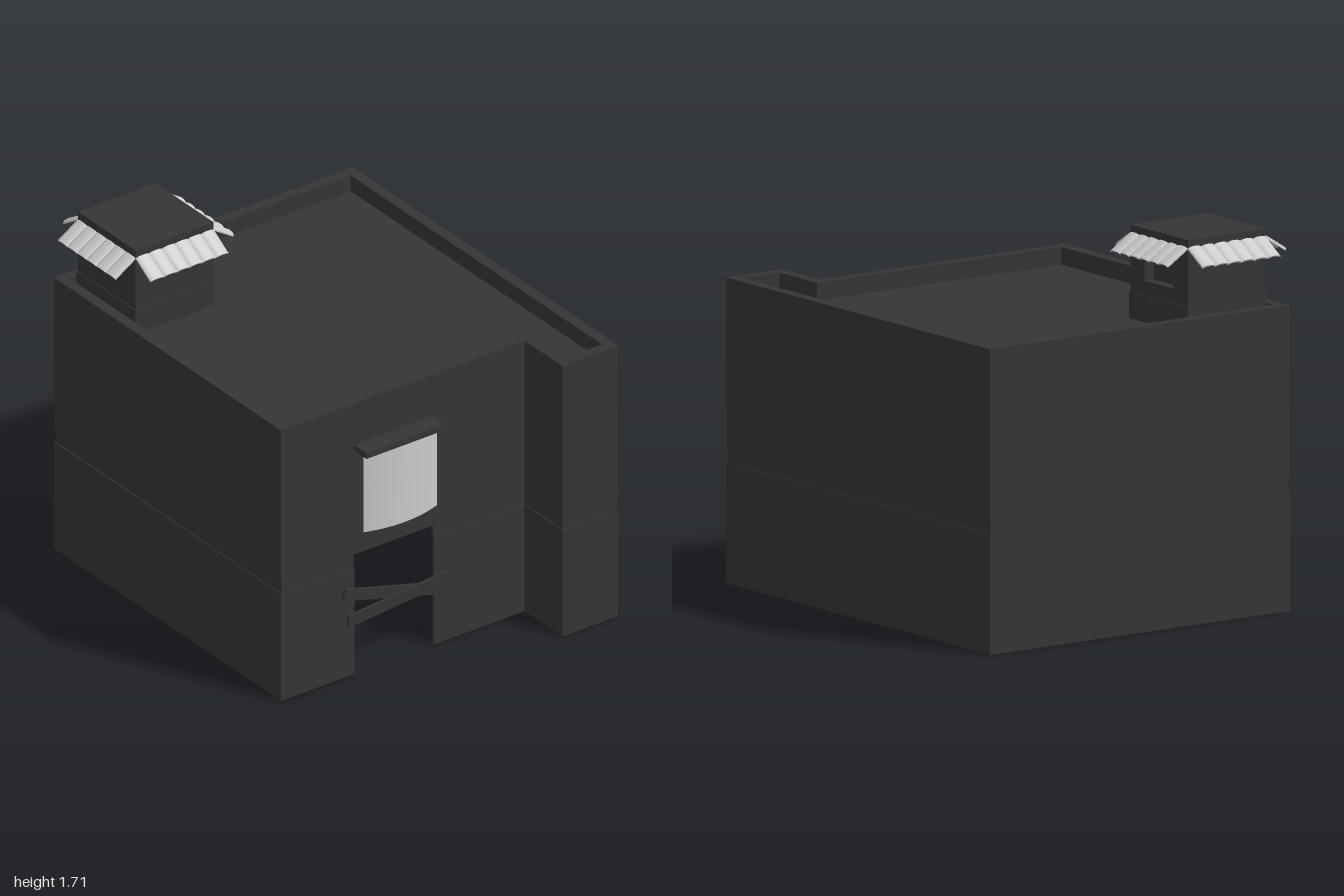
import * as THREE from 'three';
import { toCreasedNormals } from 'three/addons/utils/BufferGeometryUtils.js';

const dark = new THREE.MeshStandardMaterial({ color: 0x353535 });
const grey = new THREE.MeshStandardMaterial({ color: 0xcccccc });
const cloth = new THREE.MeshStandardMaterial({ color: 0xcccccc, side: THREE.DoubleSide });

const DOOR = [-0.4, 0.035];

// L-shaped floor plan pulled inwards by d, as (x, -z) points
function plan(d) {
  return [
    [0.53 + d, 0.72 - d], [0.53 + d, 1 - d], [0.835 - d, 1 - d],
    [0.835 - d, -0.957 + d], [-0.8 + d, -0.957 + d], [-0.8 + d, 0.72 - d],
  ].map(([x, z]) => new THREE.Vector2(x, -z));
}

// The same outline broken open at the doorway
function openPlan(d) {
  const z = -(0.72 - d);
  return [new THREE.Vector2(DOOR[1], z), ...plan(d), new THREE.Vector2(DOOR[0], z)];
}

function mesh(name, geometry, material = dark) {
  const m = new THREE.Mesh(geometry, material);
  m.name = name;
  return m;
}

function box(name, x0, x1, y0, y1, z0, z1) {
  const m = mesh(name, new THREE.BoxGeometry(x1 - x0, y1 - y0, z1 - z0));
  m.position.set((x0 + x1) / 2, (y0 + y1) / 2, (z0 + z1) / 2);
  return m;
}

// Raise a plan shape from y0 to y1
function raise(name, shape, y0, y1) {
  const g = new THREE.ExtrudeGeometry(shape, { depth: y1 - y0, bevelEnabled: false });
  g.rotateX(-Math.PI / 2).translate(0, y0, 0);
  return mesh(name, g);
}

function wall(name, inset, thickness, y0, y1, door) {
  let shape;
  if (door) {
    shape = new THREE.Shape([...openPlan(inset), ...openPlan(inset + thickness).reverse()]);
  } else {
    shape = new THREE.Shape(plan(inset));
    shape.holes.push(new THREE.Path(plan(inset + thickness)));
  }
  return raise(name, shape, y0, y1);
}

// One thin barrel tile running outwards along +z
function tileGeometry(width, length) {
  const rise = 0.013, t = 0.007, n = 8, top = [], under = [];
  for (let i = 0; i <= n; i++) {
    const u = (i / n) * 2 - 1;
    const y = rise * Math.sqrt(Math.max(0, 1 - 0.95 * u * u));
    top.push(new THREE.Vector2((u * width) / 2, y + t));
    under.unshift(new THREE.Vector2((u * width) / 2, y));
  }
  const g = new THREE.ExtrudeGeometry(new THREE.Shape([...under, ...top]), { depth: length, bevelEnabled: false });
  return toCreasedNormals(g, 0.9);
}

function createTower() {
  const tower = new THREE.Group();
  tower.name = 'roofTower';
  const cx = -0.51, cz = -0.67, h = 0.212, skin = 0.05;
  tower.add(box('towerBase', cx - h - 0.005, cx + h + 0.005, 1.29, 1.41, cz - h - 0.005, cz + h + 0.005));
  tower.add(box('towerBody', cx - h, cx + h - skin, 1.41, 1.71, cz - h, cz + h));

  // Side face with a recessed opening
  const face = new THREE.Shape([[-h, 1.41], [h, 1.41], [h, 1.71], [-h, 1.71]].map((p) => new THREE.Vector2(...p)));
  face.holes.push(new THREE.Path([[-0.107, 1.475], [-0.107, 1.63], [0.107, 1.63], [0.107, 1.475]].map((p) => new THREE.Vector2(...p))));
  const panel = mesh('towerWindowWall', new THREE.ExtrudeGeometry(face, { depth: skin, bevelEnabled: false }));
  panel.rotation.y = Math.PI / 2;
  panel.position.set(cx + h - skin, 0, cz);
  tower.add(panel);

  // Sloping tile skirt on all four sides
  const count = 6, width = (2 * h) / count;
  const geometry = tileGeometry(width, 0.13);
  for (let side = 0; side < 4; side++) {
    const row = new THREE.Group();
    row.name = 'tileRow';
    row.position.set(cx, 1.665, cz);
    row.rotation.y = (side * Math.PI) / 2;
    for (let i = 0; i < count; i++) {
      const tile = mesh('roofTile', geometry, grey);
      tile.position.set((i - (count - 1) / 2) * width, 0, h - 0.003);
      tile.rotation.x = 0.56;
      row.add(tile);
    }
    tower.add(row);
  }
  return tower;
}

function plank(x, y, z, length, angle) {
  const m = mesh('doorPlank', new THREE.BoxGeometry(length, 0.055, 0.015));
  m.position.set(x, y, z);
  m.rotation.z = angle;
  return m;
}

export function createModel() {
  const model = new THREE.Group();
  model.name = 'building';

  // Hollow shell with a shallow groove between the storeys
  model.add(wall('lowerWall', 0, 0.016, 0, 0.54, true));
  model.add(wall('grooveBand', 0.005, 0.011, 0.54, 0.605, true));
  model.add(wall('upperWall', 0, 0.016, 0.605, 1.28, false));
  model.add(wall('parapet', 0, 0.052, 1.28, 1.37, false));
  model.add(raise('roof', new THREE.Shape(plan(0.01)), 1.27, 1.29));

  // Awning with a gently bowed curtain below it
  model.add(box('awningBoard', -0.4, 0.027, 1.13, 1.16, 0.72, 0.81));
  const curtain = new THREE.PlaneGeometry(0.403, 0.4, 12, 1);
  const p = curtain.attributes.position;
  for (let i = 0; i < p.count; i++) {
    const u = p.getX(i) / 0.2015;
    p.setZ(i, 0.035 * (1 - u * u));
  }
  curtain.computeVertexNormals();
  const hanging = mesh('curtain', curtain, cloth);
  hanging.position.set(-0.184, 0.934, 0.767);
  model.add(hanging);

  // Boards nailed across the doorway
  model.add(plank(-0.198, 0.353, 0.728, 0.553, -0.265));
  model.add(plank(-0.17, 0.316, 0.743, 0.56, 0.085));

  model.add(createTower());
  return model;
}
